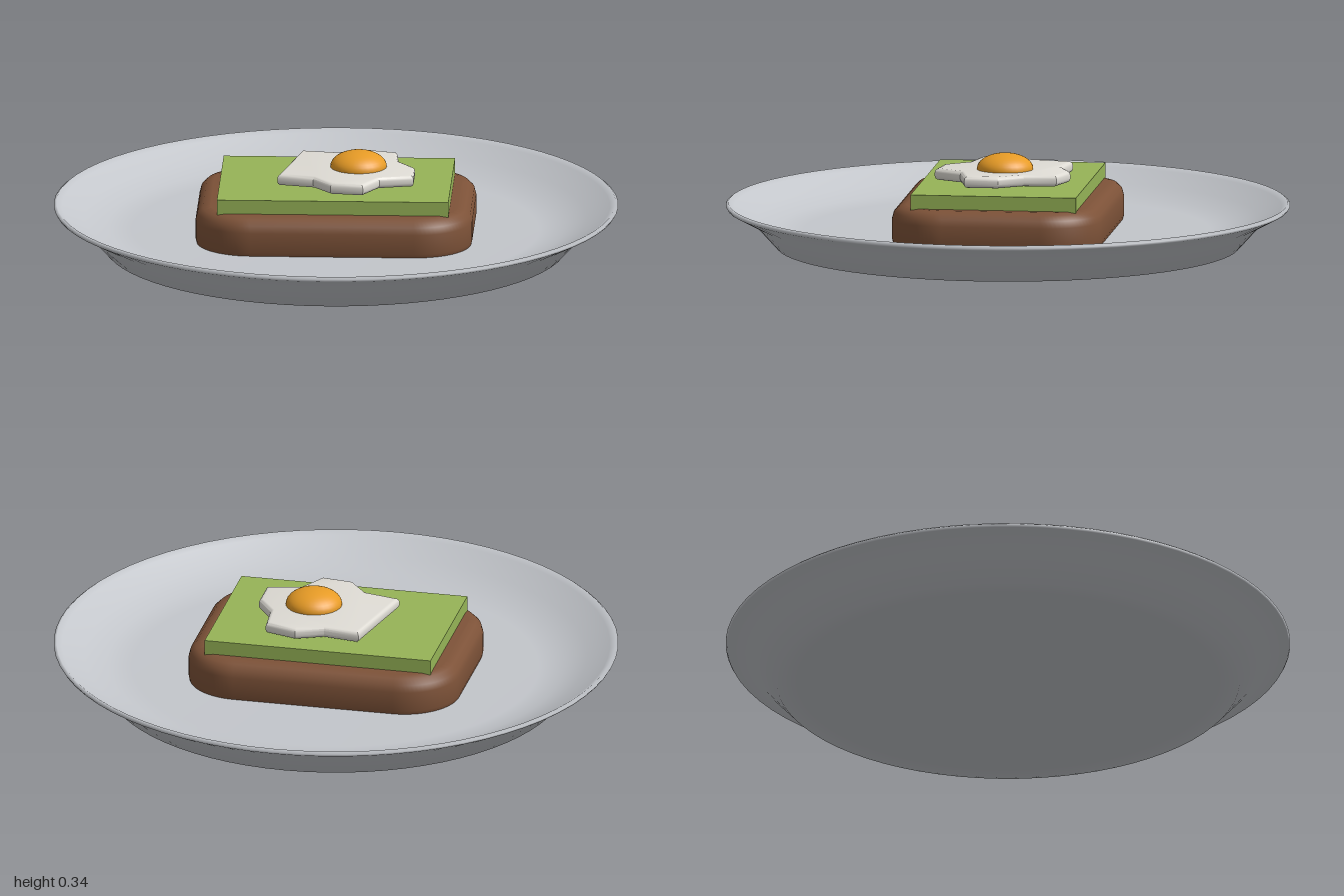
import * as THREE from 'three';
import { toCreasedNormals } from 'three/addons/utils/BufferGeometryUtils.js';

const mat = (name, color, side = THREE.FrontSide) => new THREE.MeshStandardMaterial({ name, color, side });
const V = (x, y) => new THREE.Vector2(x, y);

// Bevelled slab lying flat: the shape's y runs along +z, the slab spans bottom..top
function slab(shape, bottom, top, bevel, segments, crease) {
  const geo = new THREE.ExtrudeGeometry(shape, {
    depth: top - bottom - 2 * bevel,
    bevelThickness: bevel, bevelSize: bevel, bevelOffset: -bevel,
    bevelSegments: segments, curveSegments: 10,
  });
  geo.rotateX(Math.PI / 2);
  geo.translate(0, top - bevel, 0);
  return toCreasedNormals(geo, crease);
}

function roundedRect(w, d, r) {
  const s = new THREE.Shape();
  s.absarc(w - r, d - r, r, 0, Math.PI / 2);
  s.absarc(-w + r, d - r, r, Math.PI / 2, Math.PI);
  s.absarc(-w + r, -d + r, r, Math.PI, Math.PI * 1.5);
  s.absarc(w - r, -d + r, r, Math.PI * 1.5, Math.PI * 2);
  return s;
}

export function createModel() {
  const group = new THREE.Group();
  const add = (name, geo, material) => {
    const mesh = new THREE.Mesh(geo, material);
    mesh.name = name;
    group.add(mesh);
    return mesh;
  };

  // Plate: underside, flared wall, thin lip, then the shallow dish
  const profile = [
    V(0, 0), V(0.74, 0), V(0.82, 0), V(0.9, 0.088), V(0.995, 0.138), V(1, 0.147), V(0.99, 0.155),
    V(0.97, 0.142), V(0.89, 0.1), V(0.81, 0.07), V(0.72, 0.057), V(0, 0.055),
  ];
  add('plate', new THREE.LatheGeometry(profile, 72), mat('plate grey', 0xc3c6cb));

  // Toast with rounded corners and edges
  add('toast', slab(roundedRect(0.49, 0.375, 0.2), 0.02, 0.19, 0.05, 3, 0.6), mat('toast brown', 0x7d5238));

  // Avocado layer
  const spread = add('avocadoSpread', new THREE.BoxGeometry(0.82, 0.06, 0.59), mat('avocado green', 0x96b457));
  spread.position.y = 0.21;

  // Egg white: irregular outline, given as x and z
  const outline = [
    [-0.13, -0.215], [0, -0.195], [0.095, -0.235], [0.21, -0.2], [0.22, -0.085], [0.28, 0],
    [0.28, 0.12], [0.16, 0.15], [0.105, 0.248], [-0.01, 0.232], [-0.075, 0.15], [-0.203, 0.12],
  ].map(([x, z]) => V(x, z));
  add('eggWhite', slab(new THREE.Shape(outline), 0.247, 0.288, 0.014, 3, 0.6), mat('egg white', 0xdfdcd5));

  // Yolk: flattened ball sunk through the white
  const yolk = add('yolk', new THREE.SphereGeometry(0.1, 32, 20), mat('yolk orange', 0xe89c26));
  yolk.scale.y = 0.55;
  yolk.position.set(0.08, 0.29, 0);

  return group;
}
